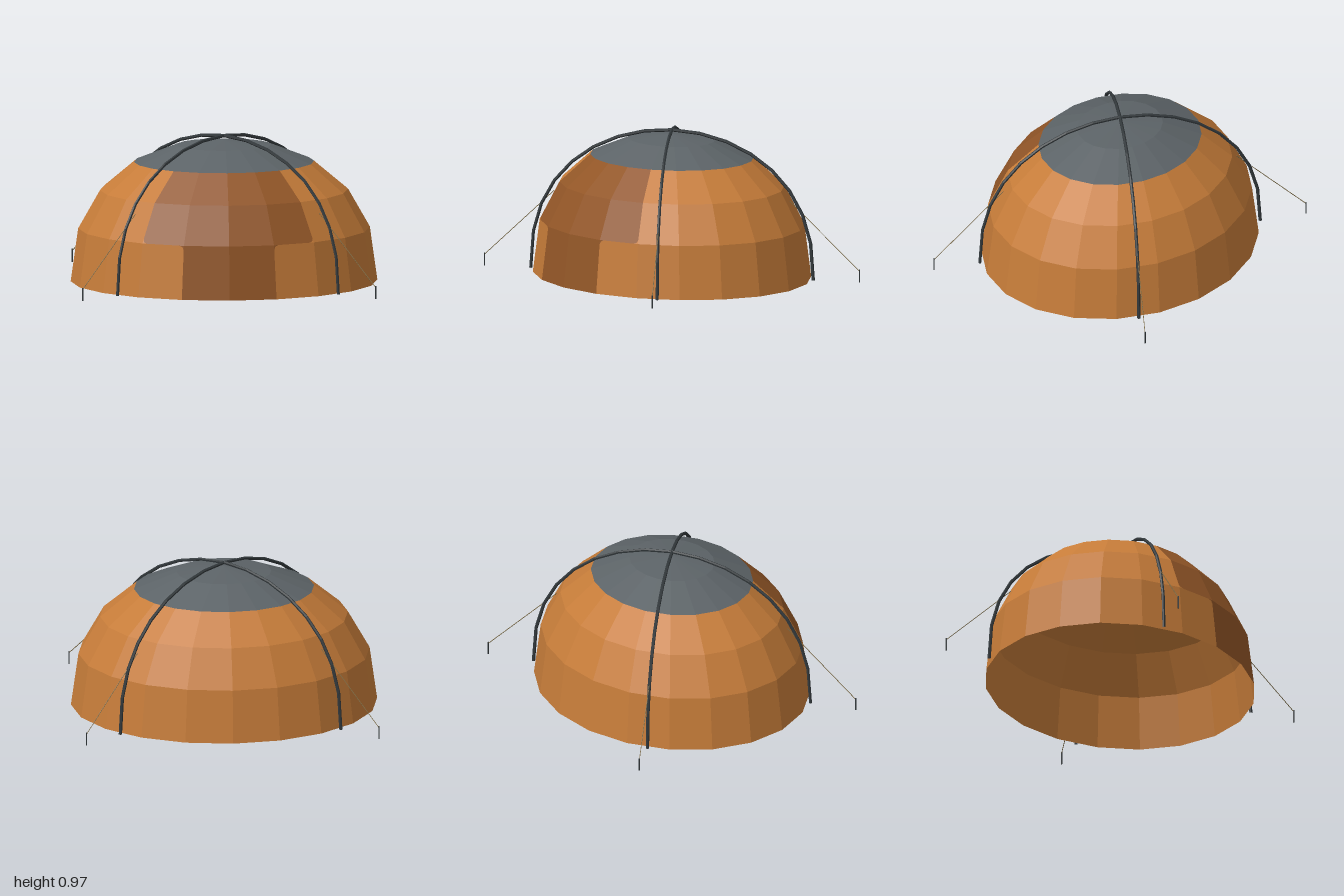
import * as THREE from 'three';

const SIDES = 20, DEPTH = 0.86;
// Canopy profile: [radius, height] from the hem to the crown
const RINGS = [[1, 0], [0.951, 0.35], [0.809, 0.6], [0.588, 0.785], [0.309, 0.895], [0, 0.93]];

const material = (name, color, side = THREE.FrontSide) => {
  const m = new THREE.MeshStandardMaterial({ color, side, flatShading: true });
  m.name = name;
  return m;
};

function ringPoint(row, j) {
  const a = (j / SIDES) * Math.PI * 2;
  const [r, y] = RINGS[row];
  return new THREE.Vector3(r * Math.sin(a), y, r * DEPTH * Math.cos(a));
}

// Push a convex polygon as a triangle fan
function fan(list, pts) {
  for (let i = 1; i < pts.length - 1; i++)
    for (const p of [pts[0], pts[i], pts[i + 1]]) list.push(p.x, p.y, p.z);
}

// Push a panel with corner k rounded off and filled in the neighbouring colour
function roundedPanel(list, cornerList, pts, k) {
  const corner = pts[k], next = pts[(k + 1) % 4], far = pts[(k + 2) % 4], prev = pts[(k + 3) % 4];
  const step = (to) => corner.clone().addScaledVector(to.clone().sub(corner).normalize(), 0.03);
  const a = step(prev), c = step(next);
  const b = a.clone().add(c).multiplyScalar(0.5).lerp(corner, 0.4);
  fan(list, [far, prev, a, b, c, next]);
  fan(cornerList, [corner, c, b, a]);
}

function meshFromTriangles(name, positions, mat) {
  const g = new THREE.BufferGeometry();
  g.setAttribute('position', new THREE.Float32BufferAttribute(positions, 3));
  g.computeVertexNormals();
  const mesh = new THREE.Mesh(g, mat);
  mesh.name = name;
  return mesh;
}

// Straight thin rod between two points
function rod(name, from, to, radius, mat) {
  const dir = to.clone().sub(from);
  const mesh = new THREE.Mesh(new THREE.CylinderGeometry(radius, radius, dir.length(), 6), mat);
  mesh.position.copy(from).add(to).multiplyScalar(0.5);
  mesh.quaternion.setFromUnitVectors(new THREE.Vector3(0, 1, 0), dir.normalize());
  mesh.name = name;
  return mesh;
}

// Arched pole running from one diagonal foot over the crown to the other
class PoleCurve extends THREE.Curve {
  constructor(side) {
    super();
    this.side = side;
  }
  getPoint(t, target = new THREE.Vector3()) {
    const a = t * Math.PI, c = Math.cos(a);
    const y = 0.955 * Math.pow(Math.max(0, Math.sin(a)), 0.83);
    return target.set(0.72 * c * this.side, y, 0.62 * c);
  }
  getUtoTmapping(u) {
    return u;
  }
}

export function createModel() {
  const model = new THREE.Group();
  model.name = 'domeTent';
  const orange = material('orange fabric', 0xc67c39, THREE.DoubleSide);
  const brown = material('brown door fabric', 0x925627, THREE.DoubleSide);
  const grey = material('grey cap fabric', 0x5c6367, THREE.DoubleSide);
  const dark = material('dark pole', 0x32383b);
  const cord = material('cord', 0x7a6a45);

  // Canopy shell, sorted into wall, door and cap panels
  const wall = [], door = [], cap = [];
  for (let row = 0; row < RINGS.length - 1; row++) {
    for (let j = -SIDES / 2; j < SIDES / 2; j++) {
      const pts = [ringPoint(row, j), ringPoint(row, j + 1), ringPoint(row + 1, j + 1), ringPoint(row + 1, j)];
      if (row === 4) fan(cap, pts.slice(0, 3));
      else if (row === 3) fan(cap, pts);
      else {
        const halfWidth = row === 0 ? 1 : 2;
        const isDoor = j >= -halfWidth && j < halfWidth;
        const [own, other] = isDoor ? [door, wall] : [wall, door];
        // Rounded corners where the door steps from wide to narrow
        if (row < 2 && j === -2) roundedPanel(own, other, pts, row === 1 ? 0 : 2);
        else if (row < 2 && j === 1) roundedPanel(own, other, pts, row === 1 ? 1 : 3);
        else fan(own, pts);
      }
    }
  }
  model.add(
    meshFromTriangles('canopyWall', wall, orange),
    meshFromTriangles('door', door, brown),
    meshFromTriangles('canopyCap', cap, grey)
  );

  // Two crossing poles
  for (const side of [1, -1]) {
    const pole = new THREE.Mesh(new THREE.TubeGeometry(new PoleCurve(side), 16, 0.011, 6), dark);
    pole.name = 'pole';
    model.add(pole);
  }

  // Guy lines and pegs at the four corners
  for (const sx of [1, -1]) {
    for (const sz of [1, -1]) {
      const at = (x, y, z) => new THREE.Vector3(x * sx, y, z * sz);
      model.add(
        rod('peg', at(0.955, 0, 0.823), at(0.955, 0.085, 0.823), 0.005, dark),
        rod('guyLine', at(0.955, 0.075, 0.823), at(0.6, 0.52, 0.516), 0.0025, cord)
      );
    }
  }
  return model;
}
